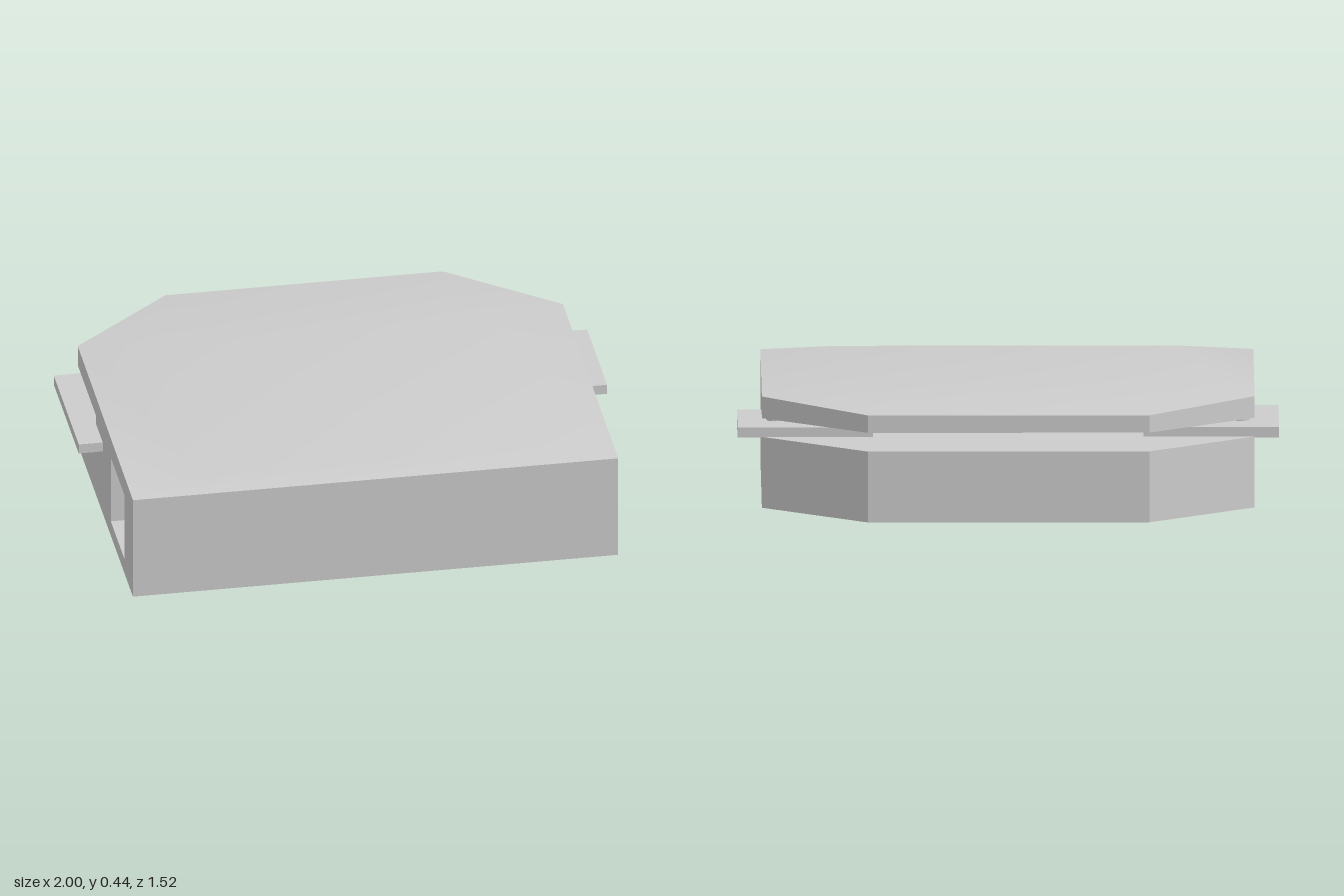
import * as THREE from 'three';
import { toCreasedNormals } from 'three/addons/utils/BufferGeometryUtils.js';

const W = 0.91, FRONT = 0.76, BACK = -0.76, SHOULDER = -0.41, BACK_W = 0.52;
const SLOT_Z = -0.02, SLOT_LOW = 0.265, SLOT_HIGH = 0.335;

// Six-cornered plan: square at the front, cut corners at the back.
// Each row is [half width, z, y], from front to back.
function planLoop(rows) {
  const right = rows.map(([x, z, y]) => [x, y, z]);
  const left = rows.map(([x, z, y]) => [-x, y, z]).reverse();
  return [left[2], ...right, left[0], left[1]];
}

// Closed skin through stacked loops with flat caps.
function loft(loops) {
  const pos = [];
  const tri = (a, b, c) => pos.push(...a, ...b, ...c);
  for (let k = 0; k < loops.length - 1; k++) {
    const a = loops[k], b = loops[k + 1];
    for (let i = 0; i < a.length; i++) {
      const j = (i + 1) % a.length;
      tri(a[i], a[j], b[j]);
      tri(a[i], b[j], b[i]);
    }
  }
  const low = loops[0], top = loops[loops.length - 1];
  for (const [i, j] of [[0, 1], [1, 2], [2, 3], [3, 4]]) {
    tri(low[5], low[j], low[i]);
    tri(top[5], top[i], top[j]);
  }
  const g = new THREE.BufferGeometry();
  g.setAttribute('position', new THREE.Float32BufferAttribute(pos, 3));
  return toCreasedNormals(g, 0.6);
}

export function createModel() {
  const group = new THREE.Group();
  const material = new THREE.MeshStandardMaterial({ color: 0xcccccc });
  const add = (name, geometry, x = 0, y = 0, z = 0) => {
    const mesh = new THREE.Mesh(geometry, material);
    mesh.name = name;
    mesh.position.set(x, y, z);
    group.add(mesh);
  };

  // Lid with a shallow bevel up to a slightly raised plateau
  add('lid', loft([
    planLoop([[W, FRONT, SLOT_HIGH], [W, SHOULDER, SLOT_HIGH], [BACK_W, BACK, SLOT_HIGH]]),
    planLoop([[W, FRONT, 0.408], [W, SHOULDER, 0.416], [BACK_W, BACK, 0.4]]),
    planLoop([[0.63, 0.67, 0.435], [0.63, -0.32, 0.441], [0.38, -0.56, 0.427]]),
  ]));

  // Rear base below the open slot
  add('rearBase', loft([0, SLOT_LOW].map((y) =>
    planLoop([[W, SLOT_Z, y], [W, SHOULDER, y], [BACK_W, BACK, y]]))));

  // Front body; the part on the right holds a rectangular socket open to the side
  const depth = 0.5;
  const bodyLength = FRONT - SLOT_Z;
  add('frontBody', new THREE.BoxGeometry(2 * W - depth, SLOT_HIGH, bodyLength),
    depth / 2, SLOT_HIGH / 2, (FRONT + SLOT_Z) / 2);

  const rect = (Type, z0, y0, z1, y1) => new Type([
    new THREE.Vector2(z0, y0), new THREE.Vector2(z1, y0),
    new THREE.Vector2(z1, y1), new THREE.Vector2(z0, y1)]);
  const wall = rect(THREE.Shape, SLOT_Z, 0, FRONT, SLOT_HIGH);
  wall.holes.push(rect(THREE.Path, 0.29, 0.06, 0.58, 0.33));
  const socket = new THREE.ExtrudeGeometry(wall, { depth, bevelEnabled: false });
  socket.rotateY(-Math.PI / 2);
  add('socketBody', socket, depth - W);

  // Side levers lying in the slot, each with a pivot post
  for (const [side, label, front] of [[1, 'left', 0.015], [-1, 'right', 0.12]]) {
    add(label + 'Lever', new THREE.BoxGeometry(0.5, 0.038, front - SHOULDER),
      side * 0.75, 0.281, (front + SHOULDER) / 2);
    add(label + 'Pivot', new THREE.CylinderGeometry(0.032, 0.032, SLOT_HIGH - SLOT_LOW, 24),
      side * 0.86, (SLOT_HIGH + SLOT_LOW) / 2, -0.23);
  }
  return group;
}
